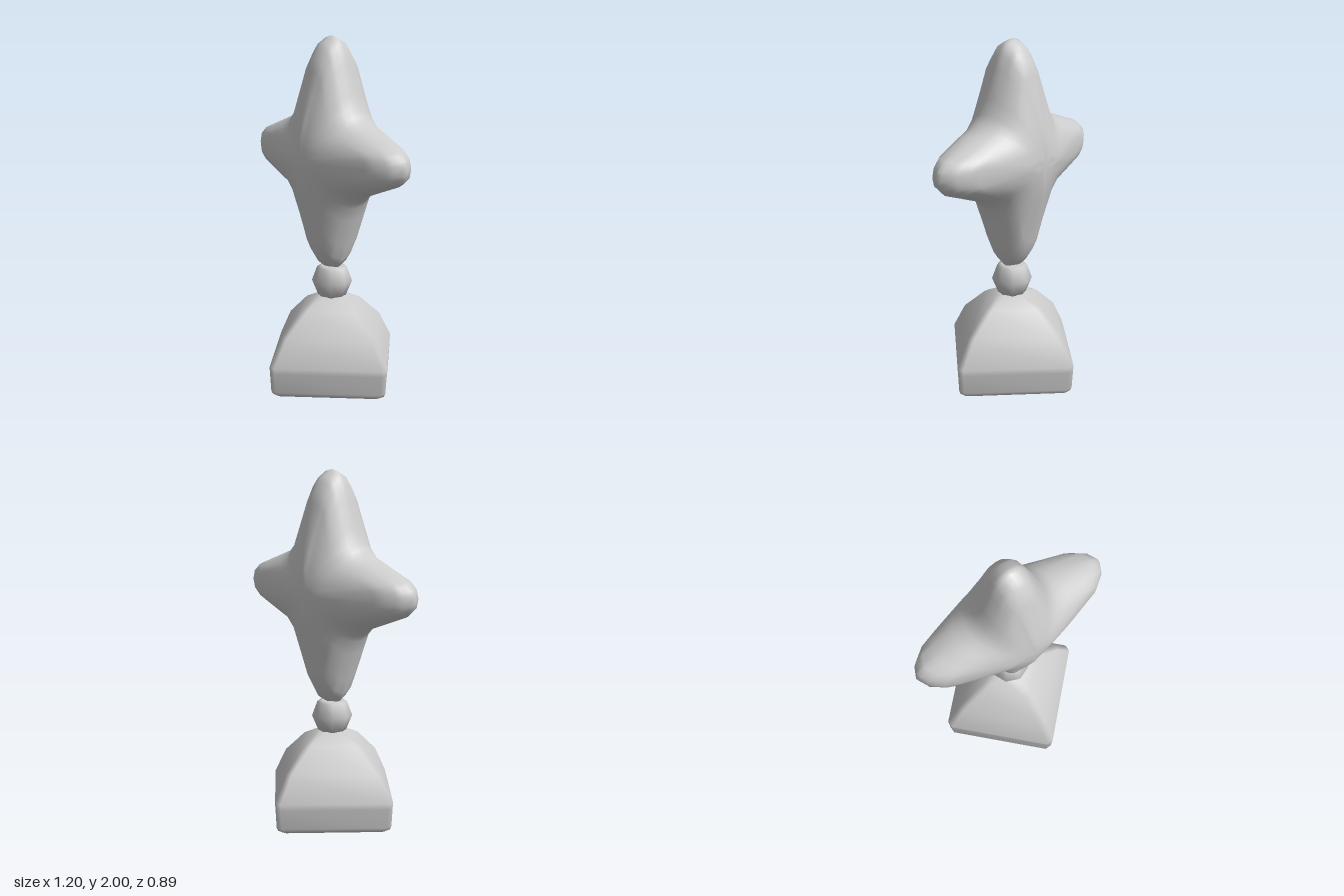
import * as THREE from 'three';
import { mergeVertices } from 'three/addons/utils/BufferGeometryUtils.js';

// Skin a list of closed rings of [x, y, z] points with smooth normals
function loft(rings) {
  const n = rings[0].length, index = [];
  for (let j = 0; j < rings.length - 1; j++) {
    for (let i = 0; i < n; i++) {
      const k = (i + 1) % n;
      const a = j * n + i, b = a + n, c = (j + 1) * n + k, d = j * n + k;
      index.push(a, b, c, a, c, d);
    }
  }
  let geo = new THREE.BufferGeometry();
  geo.setAttribute('position', new THREE.Float32BufferAttribute(rings.flat(2), 3));
  geo.setIndex(index);
  geo = mergeVertices(geo, 1e-5);
  geo.computeVertexNormals();
  return geo;
}

// Linear interpolation through [position, value] pairs
function sample(table, s) {
  for (let i = 1; i < table.length; i++) {
    const [s0, v0] = table[i - 1], [s1, v1] = table[i];
    if (s <= s1) return v0 + (v1 - v0) * (s - s0) / (s1 - s0);
  }
  return table[table.length - 1][1];
}

function starGeometry() {
  // One quarter of the outline, from the side tip to the top tip
  const quarter = [[0.6, 0], [0.587, 0.052], [0.54, 0.095], [0.4, 0.15], [0.262, 0.205],
    [0.2, 0.275], [0.145, 0.435], [0.092, 0.595], [0.05, 0.65], [0, 0.665]];
  const half = [...quarter, ...quarter.slice(0, -1).reverse().map(([x, y]) => [-x, y])];
  const full = [...half, ...half.slice(1, -1).reverse().map(([x, y]) => [x, -y])];
  const outline = full.flatMap((p, i) => {
    const q = full[(i + 1) % full.length];
    return [p, [(p[0] + q[0]) / 2, (p[1] + q[1]) / 2]];
  });

  // Thickness along the arms, blended to an ellipse towards the valleys
  const armDepth = [[0, 0.247], [0.22, 0.235], [0.47, 0.19], [0.82, 0.122], [0.95, 0.063], [1, 0]];
  const depth = (x, y, s) => {
    const arm = THREE.MathUtils.clamp((Math.hypot(x, y) - 0.335) / 0.26, 0, 1);
    return THREE.MathUtils.lerp(0.247 * Math.sqrt(1 - s * s), sample(armDepth, s), arm);
  };

  const steps = [0, 0.12, 0.22, 0.35, 0.47, 0.6, 0.72, 0.82, 0.9, 0.95, 0.985, 1];
  const ring = (s, side) => outline.map(([x, y]) => [x * s, y * s, side * depth(x, y, s)]);
  return loft([
    ...steps.map((s) => ring(s, 1)),
    ...steps.slice(0, -1).reverse().map((s) => ring(s, -1)),
  ]);
}

// Diamond-shaped ring with narrow cut corners, pointing along x and z
function diamond(r, y) {
  const c = Math.min(0.02, r), ring = [];
  for (let k = 0; k < 4; k++) {
    const cos = Math.round(Math.cos(k * Math.PI / 2)), sin = Math.round(Math.sin(k * Math.PI / 2));
    for (const t of [-c, c]) ring.push([r * cos - t * sin, y, -(r * sin + t * cos)]);
  }
  return ring;
}

export function createModel() {
  const group = new THREE.Group();
  const grey = new THREE.MeshStandardMaterial({ color: 0xcccccc });
  grey.name = 'light grey';
  const add = (name, geo, y = 0) => {
    const mesh = new THREE.Mesh(geo, grey);
    mesh.name = name;
    mesh.position.y = y;
    group.add(mesh);
  };

  // Four-pointed star
  add('star', starGeometry(), 1.335);

  // Small faceted ball between star and base
  const ball = [[0, 0.69], [0.06, 0.692], [0.085, 0.683], [0.115, 0.6], [0.08, 0.515], [0, 0.51]];
  add('ball', new THREE.LatheGeometry(ball.reverse().map(([x, y]) => new THREE.Vector2(x, y)), 8));

  // Domed square base, with its underside
  const profile = [[0, 0.52], [0.08, 0.518], [0.2, 0.462], [0.355, 0.328], [0.445, 0.175],
    [0.442, 0.14], [0.434, 0.03], [0.422, 0.01], [0.4, 0]];
  add('base', loft(profile.map(([r, y]) => diamond(r, y))));
  add('baseUnderside', loft([diamond(0.4, 0), diamond(0, 0)]));

  return group;
}
